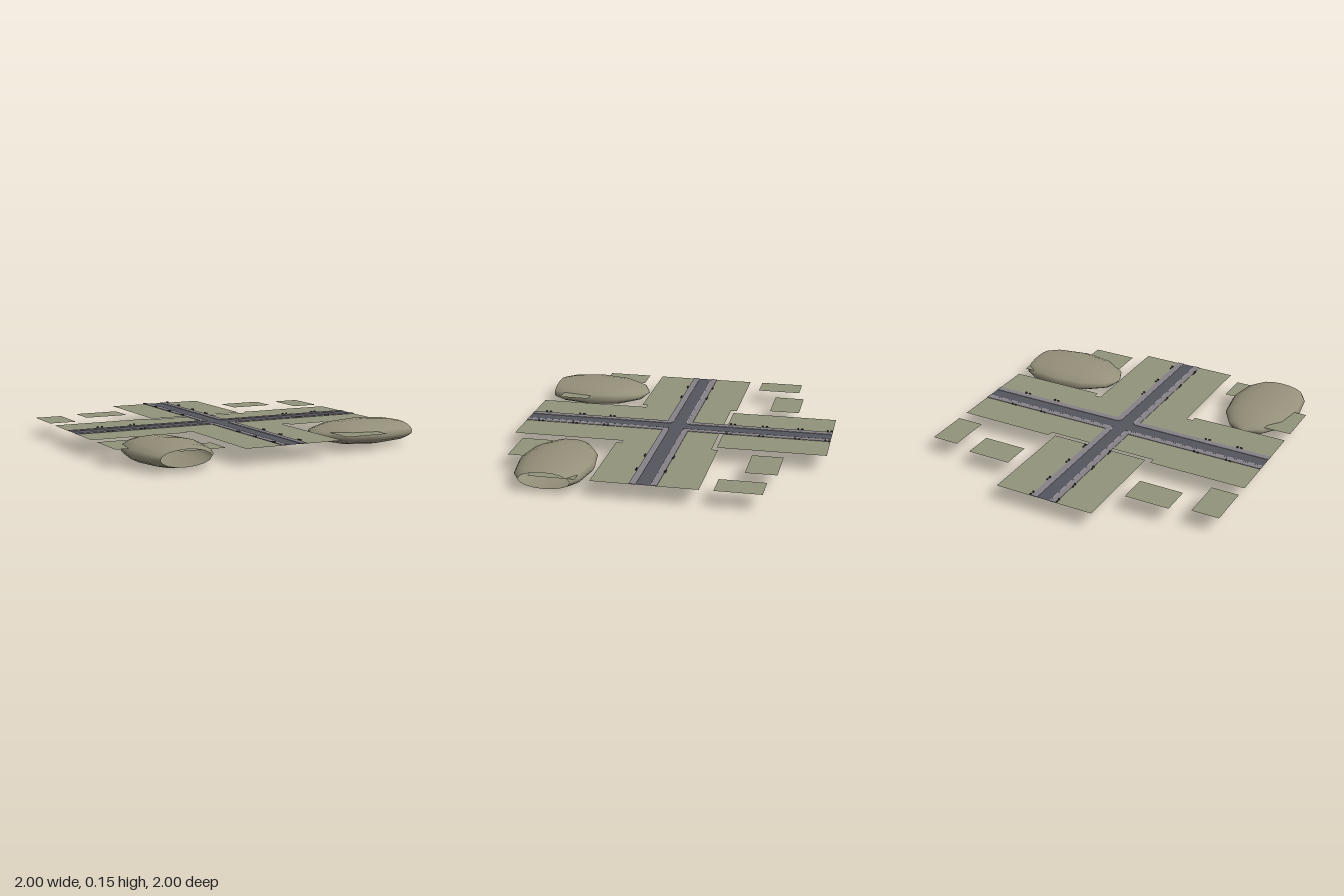
import * as THREE from 'three';

const GROUND = 0.105; // height of the street level

const material = (color) => new THREE.MeshStandardMaterial({ color, side: THREE.DoubleSide });
const grass = material(0x92937a);
const asphalt = material(0x55565d);
const paving = material(0x858187);
const kerb = material(0xa09ca2);
const dark = material(0x3c3d40);
const hillside = material(0x95907a);

function add(group, name, geometry, mat) {
  const mesh = new THREE.Mesh(geometry, mat);
  mesh.name = name;
  group.add(mesh);
  return mesh;
}

// Flat rectangle lying between two corners
function slab(group, name, x0, x1, z0, z1, y, mat) {
  const geometry = new THREE.PlaneGeometry(x1 - x0, z1 - z0).rotateX(-Math.PI / 2);
  return add(group, name, geometry.translate((x0 + x1) / 2, y, (z0 + z1) / 2), mat);
}

// L-shaped strip around one street corner, rounded on the road side
function cornerStrip(inner, outer, height) {
  const r = 0.035;
  const shape = new THREE.Shape();
  shape.moveTo(1, inner);
  shape.lineTo(inner + r, inner);
  shape.absarc(inner + r, inner + r, r, -Math.PI / 2, -Math.PI, true);
  shape.lineTo(inner, 1);
  shape.lineTo(outer, 1);
  shape.lineTo(outer, outer);
  shape.lineTo(1, outer);
  shape.closePath();
  return new THREE.ExtrudeGeometry(shape, { depth: height, bevelEnabled: false, curveSegments: 6 })
    .rotateX(-Math.PI / 2);
}

// Smooth oval mound, open where the edge of the site cuts it; long axis along y
function moundGeometry(length, width, height, cut) {
  const profile = [];
  for (let i = 0; i <= 4; i++) {
    const a = (i * Math.PI) / 6;
    profile.push(new THREE.Vector2(Math.sin(a), -Math.cos(a)));
  }
  const last = profile[4];
  const next = new THREE.Vector2(0.5, Math.cos(Math.PI / 6));
  profile.push(last.clone().lerp(next, (cut / length - last.y) / (next.y - last.y)));
  return new THREE.LatheGeometry(profile, 16).scale(width, length, height);
}

export function createModel() {
  const model = new THREE.Group();
  model.name = 'crossroads';

  // Lawns: centre pieces, then strips on both sides of each road arm
  const lawns = new THREE.Group();
  lawns.name = 'lawns';
  model.add(lawns);
  slab(lawns, 'centreLawn', -0.365, 0.365, -0.29, 0.285, GROUND - 0.001, grass);
  for (const s of [-1, 1]) {
    const span = (a, b) => (s > 0 ? [a, b] : [-b, -a]);
    slab(lawns, 'sideLawnBack', ...span(0.365, 1), -0.33, -0.046, GROUND - 0.001, grass);
    slab(lawns, 'sideLawnFront', ...span(0.365, 1), 0.046, 0.32, GROUND - 0.001, grass);
    slab(lawns, 'backLawn', ...span(0.046, 0.325), -1, -0.315, GROUND - 0.001, grass);
    slab(lawns, 'frontLawn', ...span(0.046, 0.325), 0.285, 1, GROUND - 0.001, grass);

    // Separate garden plots
    slab(lawns, 'backPlot', ...span(0.41, 0.698), -0.745, -0.55, GROUND, grass);
    slab(lawns, 'backEdgePlot', ...span(0.823, 1), -0.7, -0.415, GROUND, grass);
    slab(lawns, 'frontPlot', ...span(0.41, 0.698), 0.72, 0.92, GROUND, grass);
    slab(lawns, 'frontEdgePlot', ...span(0.823, 1), 0.41, 0.698, GROUND, grass);
  }

  // Roads: one through road and two arms meeting it
  const roads = new THREE.Group();
  roads.name = 'roads';
  model.add(roads);
  slab(roads, 'crossRoad', -1, 1, -0.082, 0.082, GROUND, asphalt);
  slab(roads, 'backRoad', -0.082, 0.082, -1, -0.082, GROUND, asphalt);
  slab(roads, 'frontRoad', -0.082, 0.082, 0.082, 1, GROUND, asphalt);

  // Pavements and pale kerbs, one L for each corner
  for (let i = 0; i < 4; i++) {
    const corner = new THREE.Group();
    corner.name = 'pavementCorner';
    add(corner, 'pavement', cornerStrip(0.046, 0.084, 0.003), paving);
    add(corner, 'kerb', cornerStrip(0.043, 0.048, 0.0034), kerb);
    corner.position.y = GROUND;
    corner.rotation.y = (i * Math.PI) / 2;
    model.add(corner);
  }

  // Small street furniture: a low block and a post in pairs along the pavements
  const furniture = new THREE.Group();
  furniture.name = 'streetFurniture';
  model.add(furniture);
  const block = new THREE.BoxGeometry(0.014, 0.007, 0.006);
  const post = new THREE.BoxGeometry(0.009, 0.01, 0.009);
  function pair(along, side, turned) {
    const set = new THREE.Group();
    set.name = 'furniturePair';
    add(set, 'block', block, dark).position.set(along - 0.013, 0.006, side * 0.09);
    add(set, 'post', post, dark).position.set(along + 0.013, 0.007, side * 0.088);
    set.position.y = GROUND;
    if (turned) set.rotation.y = -Math.PI / 2;
    furniture.add(set);
  }
  for (const side of [-1, 1]) {
    for (const x of [-0.785, -0.565, 0.555, 0.78]) pair(x, side, false);
    for (const z of [-0.98, -0.79, -0.56, -0.35, 0.46, 0.67, 0.9]) pair(z, side, true);
  }

  // Two oval mounds cut off by the site edges
  const frontMound = add(model, 'frontMound',
    moundGeometry(0.385, 0.24, 0.077, 0.27).rotateX(Math.PI / 2), hillside);
  frontMound.position.set(-0.7, 0.08, 0.73);
  const sideMound = add(model, 'sideMound',
    moundGeometry(0.385, 0.24, 0.077, 0.27).rotateX(Math.PI / 2).rotateY(Math.PI / 2), hillside);
  sideMound.position.set(0.73, 0.08, 0.6);

  return model;
}
